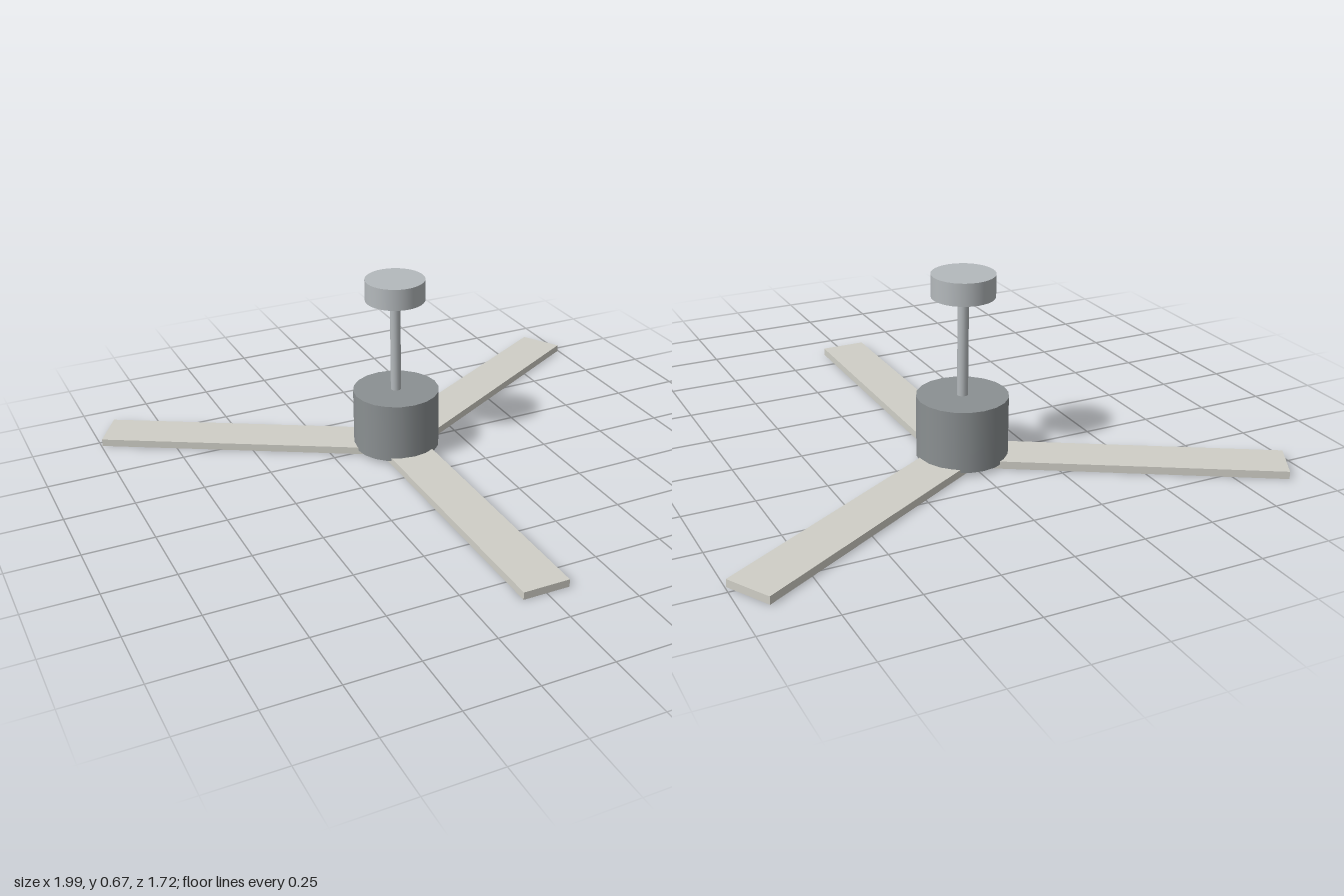
import * as THREE from 'three';

const CENTER_Z = -0.242;

export function createModel() {
  const fan = new THREE.Group();
  fan.name = 'ceilingFan';
  const paleMetal = new THREE.MeshStandardMaterial({ color: 0xb4b9bc });
  const darkMetal = new THREE.MeshStandardMaterial({ color: 0x8b9092 });
  const bladeFinish = new THREE.MeshStandardMaterial({ color: 0xd0cfc7 });

  // Upright cylinder between two heights on the fan's axis
  const addCylinder = (name, radius, bottom, top, sides, material) => {
    const mesh = new THREE.Mesh(
      new THREE.CylinderGeometry(radius, radius, top - bottom, sides), material);
    mesh.name = name;
    mesh.position.y = (bottom + top) / 2;
    fan.add(mesh);
  };
  addCylinder('ceilingCanopy', 0.109, 0.588, 0.667, 32, paleMetal);
  addCylinder('downRod', 0.019, 0.235, 0.588, 16, paleMetal);
  addCylinder('motorHousing', 0.159, 0.015, 0.235, 20, darkMetal);

  // Three flat blades, the first pointing to the front
  const inner = 0.03, tip = 1.102, thickness = 0.027;
  const bladeGeometry = new THREE.BoxGeometry(0.166, thickness, tip - inner);
  bladeGeometry.translate(0, thickness / 2, (inner + tip) / 2);
  for (let i = 0; i < 3; i++) {
    const blade = new THREE.Mesh(bladeGeometry, bladeFinish);
    blade.name = `blade${i + 1}`;
    blade.rotation.y = (i * Math.PI * 2) / 3;
    fan.add(blade);
  }

  fan.position.z = CENTER_Z;
  const model = new THREE.Group();
  model.add(fan);
  return model;
}
